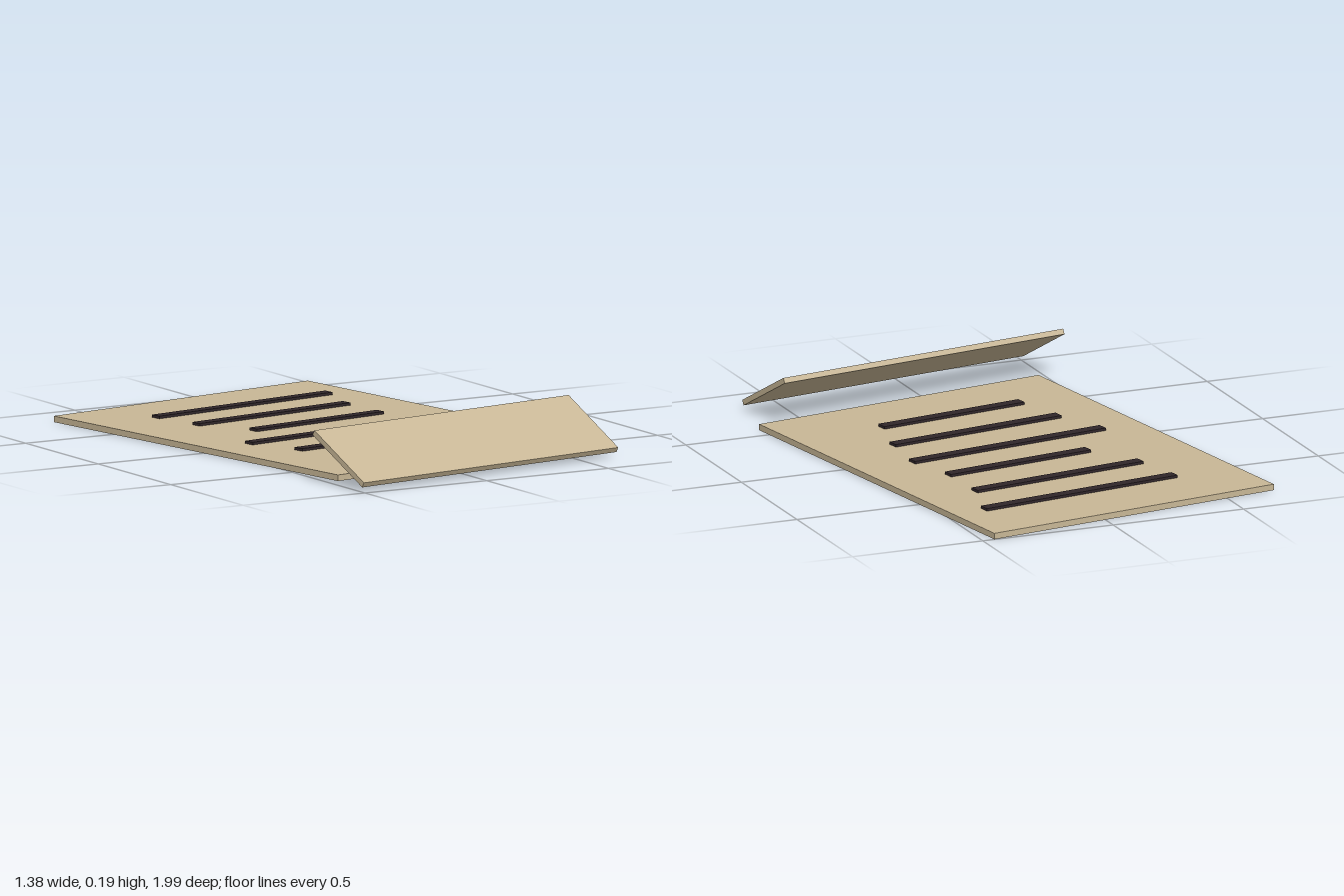
import * as THREE from 'three';

export function createModel() {
  const model = new THREE.Group();
  const paper = new THREE.MeshStandardMaterial({ color: 0xc8b796 });
  paper.name = 'tan paper';
  const ink = new THREE.MeshStandardMaterial({ color: 0x30262a });
  ink.name = 'dark ink';
  const turn = 0.149; // the whole note lies slightly askew

  const slab = (name, size, position, material, tilt = 0) => {
    const mesh = new THREE.Mesh(new THREE.BoxGeometry(...size), material);
    mesh.name = name;
    mesh.position.set(...position);
    mesh.rotation.set(tilt, turn, 0, 'YXZ');
    model.add(mesh);
  };

  // Flat sheet and the raised fold at its front edge
  slab('sheet', [1.158, 0.022, 1.583], [0, 0.011, -0.13], paper);
  slab('foldedFlap', [1.16, 0.02, 0.315], [0.051, 0.1025, 0.768], paper, 0.5);

  // Written lines: centre x, centre z, length
  const lines = [
    [-0.015, -0.66, 0.79],
    [-0.022, -0.448, 0.687],
    [0.04, -0.238, 0.58],
    [-0.01, -0.025, 0.79],
    [0.022, 0.185, 0.687],
    [0.025, 0.397, 0.58],
  ];
  lines.forEach(([x, z, length], i) =>
    slab(`writtenLine${i + 1}`, [length, 0.0095, 0.042], [x, 0.0275, z], ink));

  return model;
}
